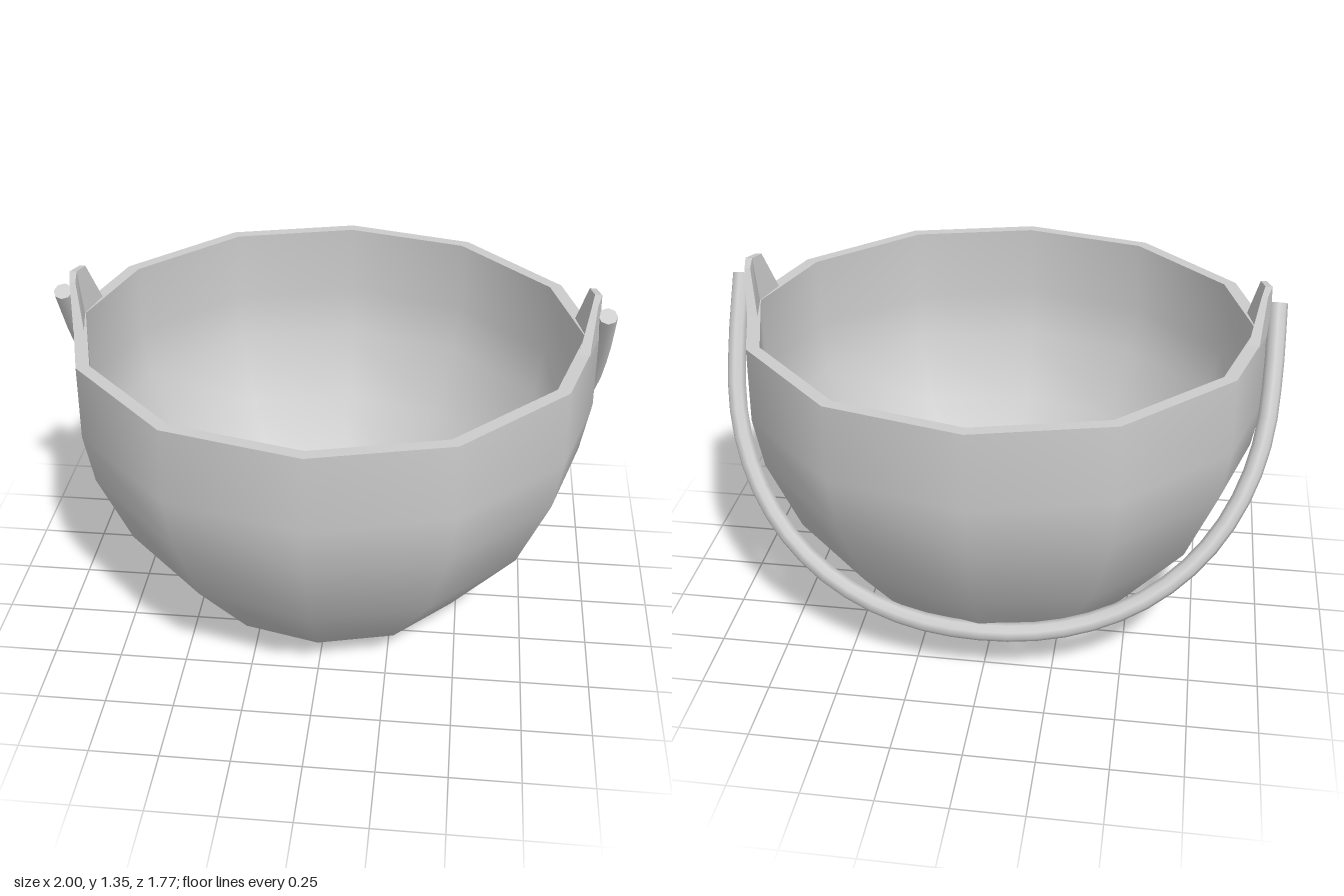
import * as THREE from 'three';
import { ConvexGeometry } from 'three/addons/geometries/ConvexGeometry.js';

const SIDES = 12;
const X_STRETCH = 1.075; // the bowl is slightly wider than deep

// Twelve-sided lathe whose corners beside the lugs are drawn together
function bowlSection(points) {
  const geo = new THREE.LatheGeometry(points.map(([r, y]) => new THREE.Vector2(r, y)), SIDES);
  const pos = geo.attributes.position;
  for (let i = 0; i < pos.count; i++) {
    const x = pos.getX(i), z = pos.getZ(i);
    if (Math.abs(x) > Math.abs(z) && Math.abs(z) > 1e-6) {
      pos.setX(i, x * 1.013);
      pos.setZ(i, z * 0.915);
    }
  }
  return geo.scale(X_STRETCH, 1, 1);
}

export function createModel() {
  const model = new THREE.Group();
  model.name = 'bucket';
  const mat = new THREE.MeshStandardMaterial({ color: 0xcccccc });

  const add = (parent, geo, name) => {
    const mesh = new THREE.Mesh(geo, mat);
    mesh.name = name;
    parent.add(mesh);
    return mesh;
  };

  // Bowl: separate lathed sections keep the rim and base edges sharp
  const bowl = new THREE.Group();
  bowl.name = 'bowl';
  model.add(bowl);
  const sections = {
    base: [[0, 0], [0.285, 0.025]],
    outerWall: [[0.285, 0.025], [0.51, 0.135], [0.745, 0.44], [0.855, 0.72], [0.885, 0.91], [0.88, 1.185]],
    rim: [[0.88, 1.185], [0.835, 1.185]],
    // inner wall runs into a flat floor
    inside: [[0.835, 1.185], [0.84, 0.91], [0.81, 0.73], [0.705, 0.465], [0.53, 0.225], [0.48, 0.17], [0, 0.165]],
  };
  for (const [name, points] of Object.entries(sections)) add(bowl, bowlSection(points), name);

  // Lugs: tapered tabs folded around the rim corner, built as mirrored halves
  const lugPoints = [
    [0.946, 1.18, 0], [0.9, 1.18, 0], [0.907, 1.18, 0.14], [0.868, 1.18, 0.14],
    [0.94, 1.35, 0], [0.915, 1.35, 0], [0.923, 1.34, 0.07], [0.902, 1.34, 0.07],
  ];
  for (const sx of [1, -1]) {
    const lug = new THREE.Group();
    lug.name = sx > 0 ? 'leftLug' : 'rightLug';
    model.add(lug);
    for (const sz of [1, -1]) {
      const pts = lugPoints.map(([x, y, z]) => new THREE.Vector3(sx * x, y, sz * z));
      add(lug, new ConvexGeometry(pts), sz > 0 ? 'frontHalf' : 'backHalf');
    }
  }

  // Handle: full-shouldered U hanging back against the bowl, kinked out at its middle
  const handle = new THREE.Group();
  handle.name = 'handle';
  handle.position.set(0, 1.28, 0.022);
  handle.rotation.x = 0.518;
  model.add(handle);
  const R = 0.966, STRAIGHT = 0.25, DEPTH = 0.977, TUBE = 0.034, STEPS = 16;
  const path = [new THREE.Vector3(R, 0, 0)];
  for (let i = 0; i <= STEPS; i++) {
    const a = (i / STEPS) * Math.PI;
    const c = Math.cos(a), s = Math.sin(a);
    const x = R * Math.sign(c) * Math.abs(c) ** 0.91;
    path.push(new THREE.Vector3(x, -STRAIGHT - DEPTH * Math.abs(s) ** 0.91, -0.02 * Math.abs(s) ** 30));
  }
  path.push(new THREE.Vector3(-R, 0, 0));
  add(handle, new THREE.TubeGeometry(new THREE.CatmullRomCurve3(path), 36, TUBE, 8), 'bail');
  for (const sx of [1, -1]) {
    const cap = new THREE.CircleGeometry(TUBE, 8).rotateX(-Math.PI / 2);
    add(handle, cap, 'bailEnd').position.x = sx * R;
  }

  return model;
}
